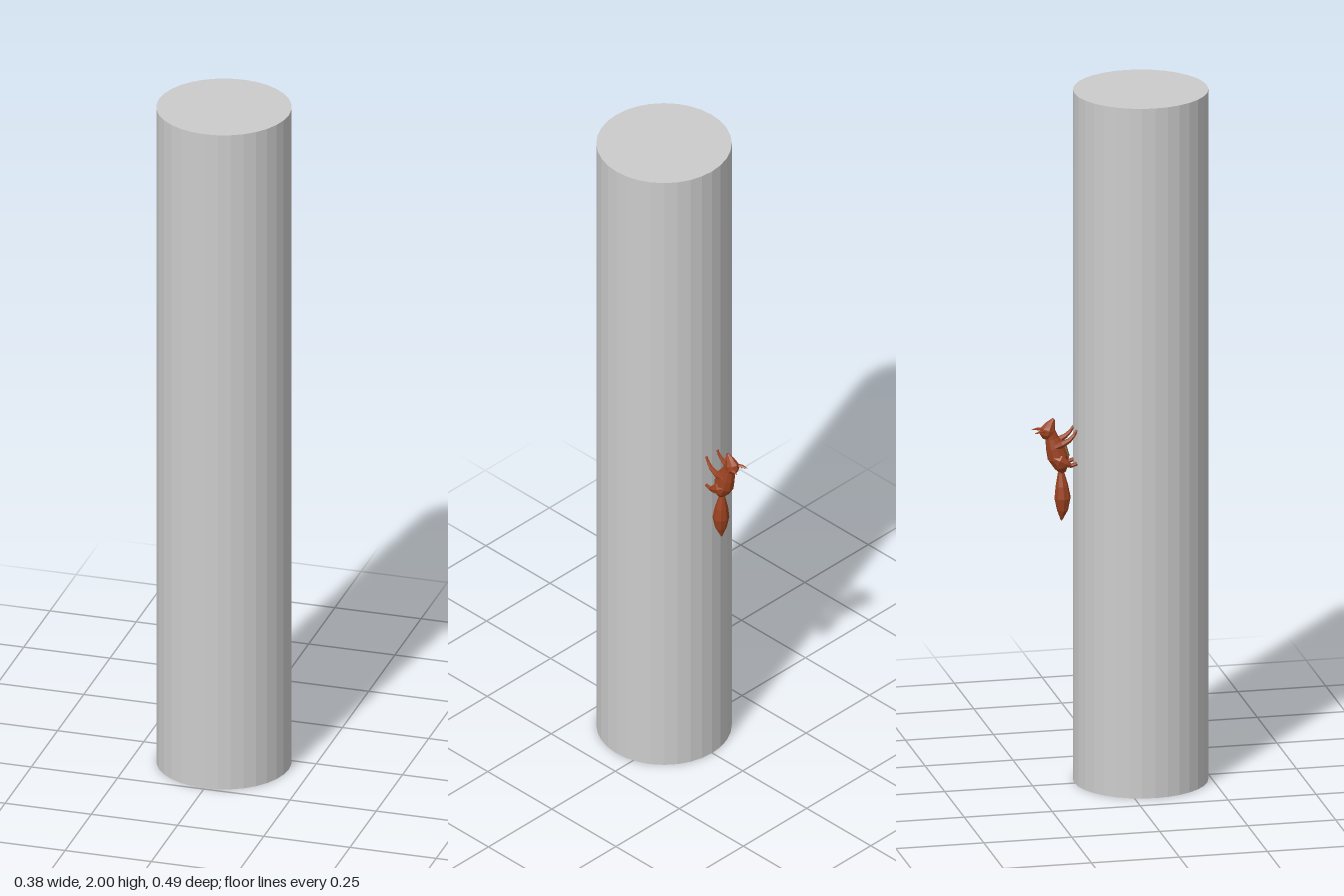
import * as THREE from 'three';

const paint = (name, color, flatShading = true) => {
  const m = new THREE.MeshStandardMaterial({ color, flatShading });
  m.name = name;
  return m;
};

// Closed skin over elliptical rings; each ring is [x, y, z, half width, half depth].
function loft(rings, sides = 8) {
  const centres = rings.map(r => new THREE.Vector3(r[0], r[1], r[2]));
  const last = rings.length - 1;
  const pos = [];
  rings.forEach((r, i) => {
    const t = centres[Math.min(i + 1, last)].clone().sub(centres[Math.max(i - 1, 0)]).normalize();
    const side = new THREE.Vector3(1, 0, 0).addScaledVector(t, -t.x).normalize();
    const depth = t.clone().cross(side);
    for (let j = 0; j < sides; j++) {
      const a = (j / sides) * Math.PI * 2;
      const p = centres[i].clone()
        .addScaledVector(side, r[3] * Math.cos(a))
        .addScaledVector(depth, r[4] * Math.sin(a));
      pos.push(p.x, p.y, p.z);
    }
  });
  const start = rings.length * sides;
  pos.push(...centres[0].toArray(), ...centres[last].toArray());
  const index = [];
  for (let j = 0; j < sides; j++) {
    const k = (j + 1) % sides;
    for (let i = 0; i < last; i++) {
      const a = i * sides + j, b = i * sides + k;
      index.push(a, b, b + sides, a, b + sides, a + sides);
    }
    index.push(start, k, j, start + 1, last * sides + j, last * sides + k);
  }
  const g = new THREE.BufferGeometry();
  g.setAttribute('position', new THREE.Float32BufferAttribute(pos, 3));
  g.setIndex(index);
  g.computeVertexNormals();
  return g;
}

export function createModel() {
  const bark = paint('pale grey', 0xcccccc);
  const fur = paint('red brown fur', 0x9c4220);
  const cream = paint('khaki belly', 0x84744a);

  const model = new THREE.Group();
  model.name = 'squirrelOnTrunk';
  const add = (parent, name, geometry, material) => {
    const mesh = new THREE.Mesh(geometry, material);
    mesh.name = name;
    parent.add(mesh);
    return mesh;
  };

  // Trunk
  add(model, 'trunk', new THREE.CylinderGeometry(0.188, 0.188, 2, 32), bark).position.set(0, 1, 0.057);

  // Squirrel climbing the back of the trunk
  const squirrel = new THREE.Group();
  squirrel.name = 'squirrel';
  model.add(squirrel);

  add(squirrel, 'body', loft([
    [0, 0.905, -0.164, 0.009, 0.009],
    [0, 0.922, -0.169, 0.022, 0.021],
    [0, 0.950, -0.178, 0.027, 0.030],
    [0, 0.980, -0.186, 0.023, 0.027],
    [0, 1.005, -0.195, 0.016, 0.019],
    [0, 1.025, -0.200, 0.013, 0.015],
  ], 10), fur);

  add(squirrel, 'belly', loft([
    [0, 0.925, -0.158, 0.009, 0.007],
    [0, 0.950, -0.159, 0.015, 0.014],
    [0, 0.978, -0.167, 0.014, 0.014],
    [0, 1.002, -0.181, 0.007, 0.007],
  ]), cream);

  add(squirrel, 'head', loft([
    [0, 1.004, -0.212, 0.008, 0.010],
    [0, 1.016, -0.210, 0.017, 0.021],
    [0, 1.030, -0.207, 0.018, 0.022],
    [0, 1.044, -0.200, 0.012, 0.015],
    [0, 1.056, -0.193, 0.006, 0.007],
    [0, 1.061, -0.191, 0.003, 0.004],
  ]), fur);

  add(squirrel, 'tail', loft([
    [0, 0.925, -0.166, 0.007, 0.007],
    [0, 0.900, -0.169, 0.009, 0.010],
    [0, 0.865, -0.167, 0.019, 0.018],
    [0, 0.830, -0.165, 0.024, 0.023],
    [0, 0.795, -0.165, 0.017, 0.016],
    [0, 0.765, -0.168, 0.002, 0.002],
  ]), fur);

  for (const s of [1, -1]) {
    const label = s > 0 ? 'left' : 'right';

    // Pointed ear
    add(squirrel, label + 'Ear', loft([
      [s * 0.011, 1.028, -0.218, 0.006, 0.005],
      [s * 0.016, 1.029, -0.232, 0.006, 0.004],
      [s * 0.0215, 1.027, -0.248, 0.0006, 0.0006],
    ], 5), fur);

    // Front leg reaching up to the trunk
    add(squirrel, label + 'FrontLeg', loft([
      [s * 0.015, 0.982, -0.188, 0.008, 0.009],
      [s * 0.023, 0.992, -0.170, 0.008, 0.010],
      [s * 0.024, 1.002, -0.151, 0.006, 0.007],
      [s * 0.022, 1.016, -0.137, 0.004, 0.005],
      [s * 0.022, 1.030, -0.129, 0.004, 0.003],
    ], 6), fur);

    // Hind leg with a broad thigh
    add(squirrel, label + 'HindLeg', loft([
      [s * 0.016, 0.950, -0.192, 0.007, 0.010],
      [s * 0.021, 0.944, -0.177, 0.010, 0.018],
      [s * 0.023, 0.935, -0.160, 0.008, 0.013],
      [s * 0.022, 0.928, -0.145, 0.005, 0.006],
      [s * 0.022, 0.933, -0.129, 0.004, 0.006],
    ], 6), fur);
  }
  return model;
}
